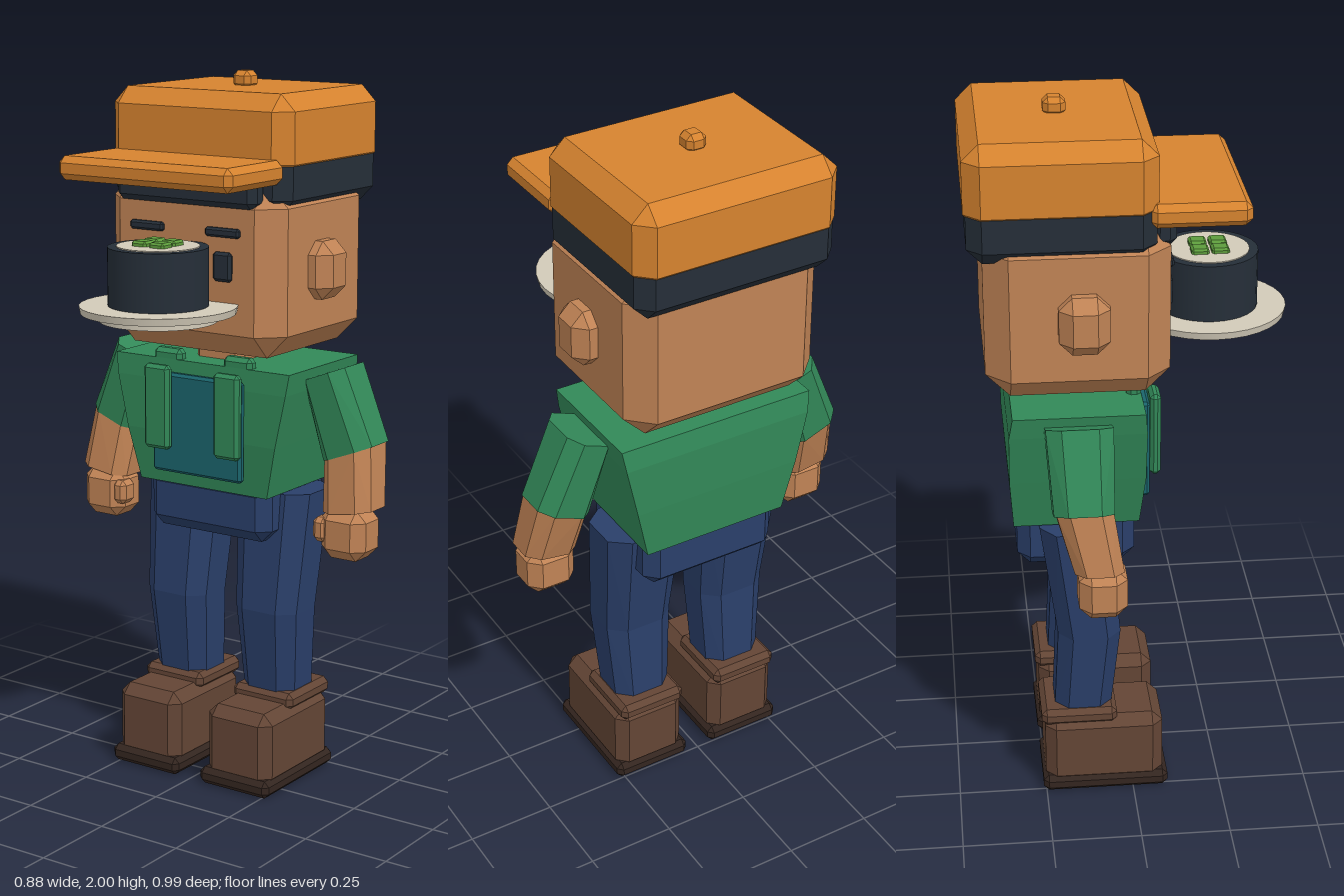
import * as THREE from 'three';
import { ConvexGeometry } from 'three/addons/geometries/ConvexGeometry.js';

const paint = (name, color) => {
  const m = new THREE.MeshStandardMaterial({ color });
  m.name = name;
  return m;
};

export function createModel() {
  const orange = paint('cap orange', 0xd6832f);
  const skin = paint('skin', 0xc08355);
  const green = paint('shirt green', 0x328858);
  const navy = paint('trouser navy', 0x2a3f6a);
  const dark = paint('charcoal', 0x252e38);
  const brown = paint('boot brown', 0x634535);
  const soleBrown = paint('sole brown', 0x33251f);
  const cream = paint('cream', 0xd2cab8);
  const teal = paint('bib teal', 0x1a646c);
  const leaf = paint('filling green', 0x5d9c3c);

  const root = new THREE.Group();
  root.name = 'cook';
  const add = (name, geometry, material) => {
    const mesh = new THREE.Mesh(geometry, material);
    mesh.name = name;
    root.add(mesh);
    return mesh;
  };
  const hull = (name, points, material) => add(name, new ConvexGeometry(points), material);

  // Box with chamfered edges, given by its limits on each axis
  const block = (name, material, [x0, x1], [y0, y1], [z0, z1], b) => {
    const c = [(x0 + x1) / 2, (y0 + y1) / 2, (z0 + z1) / 2];
    const h = [(x1 - x0) / 2, (y1 - y0) / 2, (z1 - z0) / 2];
    const pts = [];
    for (const sx of [-1, 1]) for (const sy of [-1, 1]) for (const sz of [-1, 1]) {
      for (let a = 0; a < 3; a++) {
        const e = h.map((v, i) => (i === a ? v : v - b));
        pts.push(new THREE.Vector3(c[0] + sx * e[0], c[1] + sy * e[1], c[2] + sz * e[2]));
      }
    }
    return hull(name, pts, material);
  };

  // Eight-sided ring, tilted about x; s mirrors it across the body
  const ring = ([x, y, z, hx, hz, tilt], s, k = 0.55) =>
    [[1, k], [k, 1], [-k, 1], [-1, k], [-1, -k], [-k, -1], [k, -1], [1, -k]].map(([u, v]) =>
      new THREE.Vector3(x + u * hx, y + v * hz * Math.sin(tilt), s * (z + v * hz * Math.cos(tilt))));
  const limb = (name, material, a, b, s) => hull(name, [...ring(a, s), ...ring(b, s)], material);
  const side = (s, a, b) => (s > 0 ? [a, b] : [-b, -a]);

  // Head and cap
  block('head', skin, [-0.1, 0.39], [1.25, 1.725], [-0.288, 0.288], 0.065);
  block('capBand', dark, [-0.06, 0.43], [1.64, 1.85], [-0.293, 0.293], 0.04);
  block('capCrown', orange, [-0.065, 0.436], [1.73, 1.96], [-0.297, 0.297], 0.045);
  block('capBrim', orange, [-0.305, -0.04], [1.725, 1.79], [-0.283, 0.283], 0.018);
  block('capButton', orange, [0.155, 0.215], [1.95, 2.0], [-0.029, 0.029], 0.014);
  block('fringe', dark, [-0.116, -0.05], [1.655, 1.74], [-0.23, 0.23], 0.02);
  block('mouth', dark, [-0.112, -0.095], [1.415, 1.44], [-0.07, 0.07], 0.006);
  block('neck', skin, [0.05, 0.25], [1.18, 1.27], [-0.08, 0.08], 0.02);

  // Torso: wide at the shoulders, narrow at the waist
  const torso = [];
  for (const [y, x0, x1, z] of [[1.21, -0.03, 0.325, 0.292], [1.15, -0.035, 0.335, 0.283],
    [1.0, -0.035, 0.335, 0.25], [0.85, -0.02, 0.325, 0.215]]) {
    for (const x of [x0, x1]) for (const s of [-1, 1]) torso.push(new THREE.Vector3(x, y, s * z));
  }
  hull('shirt', torso, green);
  block('hips', navy, [-0.01, 0.315], [0.71, 0.88], [-0.205, 0.205], 0.035);
  block('bib', teal, [-0.056, -0.03], [0.89, 1.175], [-0.15, 0.15], 0.008);

  for (const s of [-1, 1]) {
    const n = s > 0 ? 'left' : 'right';
    // Face
    block(n + 'Ear', skin, [0.065, 0.2], [1.4, 1.56], side(s, 0.25, 0.347), 0.035);
    block(n + 'Eyebrow', dark, [-0.114, -0.095], [1.58, 1.605], side(s, 0.07, 0.18), 0.006);
    block(n + 'Eye', dark, [-0.114, -0.095], [1.46, 1.54], side(s, 0.095, 0.155), 0.008);

    // Straps and collar
    block(n + 'Strap', green, [-0.085, -0.055], [0.96, 1.2], side(s, 0.075, 0.16), 0.01);
    block(n + 'Collar', green, [-0.03, 0.01], [1.17, 1.238], side(s, 0.07, 0.165), 0.012);

    // Arm
    const elbow = [0.148, 0.98, 0.398, 0.08, 0.083, 0.37];
    limb(n + 'Sleeve', green, [0.152, 1.195, 0.32, 0.09, 0.07, 0.37], elbow, s);
    limb(n + 'Forearm', skin, [0.146, 0.985, 0.397, 0.076, 0.079, 0.37],
      [0.11, 0.825, 0.417, 0.066, 0.078, 0.15], s);
    block(n + 'Hand', skin, [0.035, 0.165], [0.69, 0.835], side(s, 0.34, 0.483), 0.032);
    block(n + 'Thumb', skin, [0.037, 0.1], [0.735, 0.805], side(s, 0.323, 0.37), 0.014);

    // Leg with a slight bend at the knee
    const knee = [0.12, 0.5, 0.155, 0.088, 0.102, 0];
    limb(n + 'Thigh', navy, [0.16, 0.845, 0.155, 0.095, 0.12, 0], knee, s);
    limb(n + 'Shin', navy, knee, [0.14, 0.24, 0.153, 0.08, 0.085, 0], s);

    // Boot
    block(n + 'Sole', soleBrown, [-0.1, 0.258], [0, 0.05], side(s, 0.038, 0.272), 0.015);
    block(n + 'Boot', brown, [-0.086, 0.25], [0.02, 0.237], side(s, 0.048, 0.264), 0.03);
    block(n + 'BootCuff', brown, [0.045, 0.26], [0.215, 0.265], side(s, 0.055, 0.257), 0.015);
  }

  // Plate with a filled roll
  const disc = (name, material, r, rLow, y0, y1, sides = 32) => {
    const m = add(name, new THREE.CylinderGeometry(r, rLow, y1 - y0, sides), material);
    m.position.set(-0.226, (y0 + y1) / 2, 0);
  };
  disc('plate', cream, 0.214, 0.21, 1.382, 1.402);
  disc('plateFoot', cream, 0.16, 0.16, 1.36, 1.383);
  disc('rollWrap', dark, 0.136, 0.136, 1.4, 1.56);
  disc('rice', cream, 0.112, 0.112, 1.555, 1.563);
  for (const [x, z] of [[-0.255, -0.028], [-0.2, -0.03], [-0.255, 0.03], [-0.2, 0.028]]) {
    block('filling', leaf, [x - 0.024, x + 0.024], [1.555, 1.577], [z - 0.024, z + 0.024], 0.006);
  }
  return root;
}
